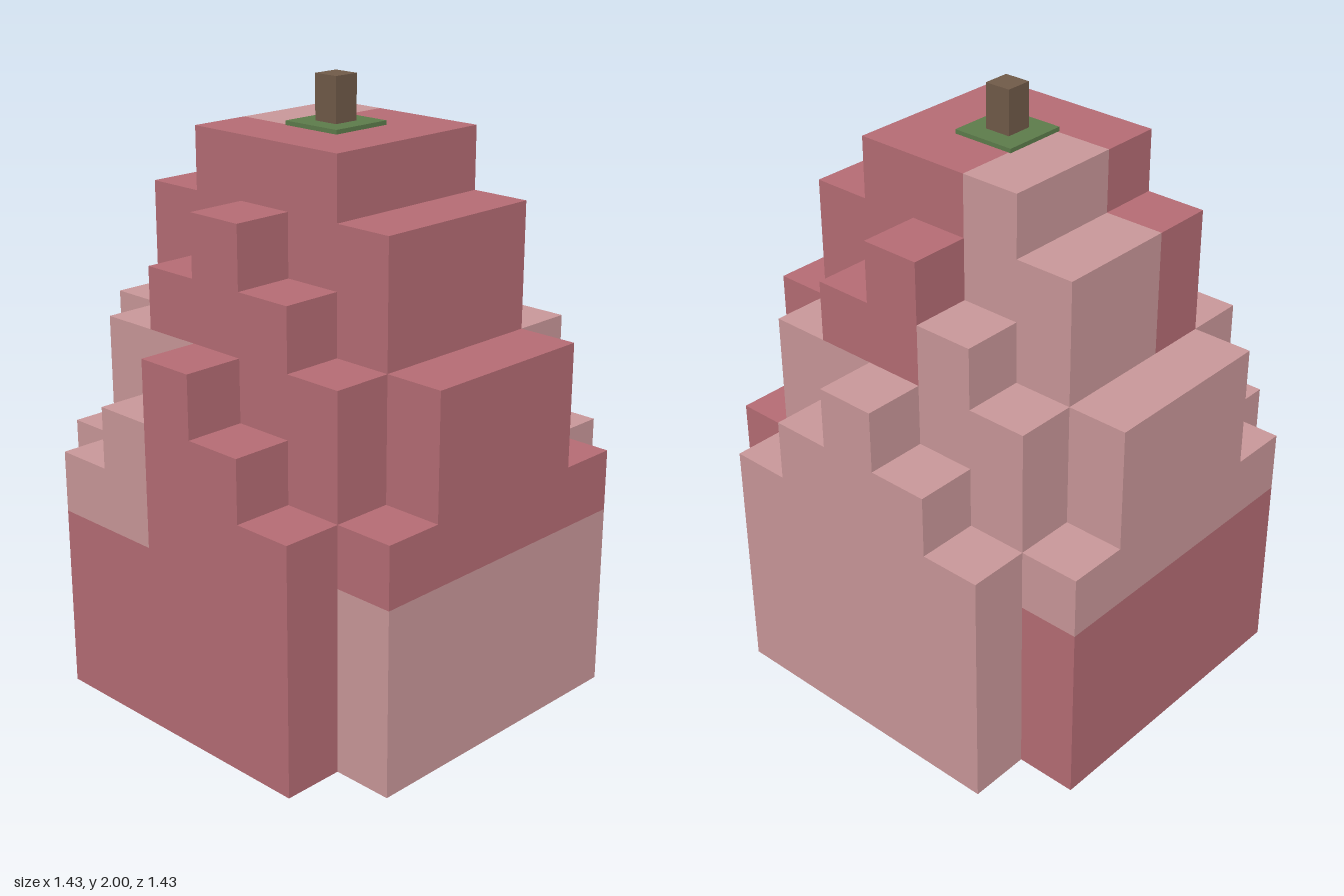
import * as THREE from 'three';
import { mergeGeometries } from 'three/addons/utils/BufferGeometryUtils.js';

const UNIT = 1.84 / 9; // edge of one cube

// Cubes per column, by distance from the centre: HEIGHTS[|z|][|x|]
const HEIGHTS = [
  [9, 9, 8, 6],
  [9, 9, 8, 6],
  [8, 7, 6, 4],
  [6, 5, 4, 0],
];

// Outward directions with the turn that points a plane along them
const SIDES = [
  { d: [1, 0, 0], turn: g => g.rotateY(Math.PI / 2) },
  { d: [-1, 0, 0], turn: g => g.rotateY(-Math.PI / 2) },
  { d: [0, 1, 0], turn: g => g.rotateX(-Math.PI / 2) },
  { d: [0, -1, 0], turn: g => g.rotateX(Math.PI / 2) },
  { d: [0, 0, 1], turn: g => g },
  { d: [0, 0, -1], turn: g => g.rotateY(Math.PI) },
];

function isFilled(x, y, z) {
  const ax = Math.abs(x), az = Math.abs(z);
  if (ax > 3 || az > 3 || y < 0 || y >= HEIGHTS[az][ax]) return false;
  // five pits in the underside: the centre and its diagonals
  const pit = y === 0 && ax <= 1 && ax === az;
  return !pit;
}

// The skin is mottled in patches three cubes tall
function isPale(x, y, z) {
  const band = Math.floor(y / 3);
  if (x === 3) return band === 0;
  if (z === -3) return true;
  if (band === 0) return false;
  if (band === 1) return x < 0 || z <= 0;
  return x < 0 && z <= 0;
}

// All exposed cube faces of one skin colour
function skinGeometry(pale) {
  const faces = [];
  for (let x = -3; x <= 3; x++)
    for (let z = -3; z <= 3; z++)
      for (let y = 0; y < 9; y++) {
        if (!isFilled(x, y, z) || isPale(x, y, z) !== pale) continue;
        for (const { d, turn } of SIDES) {
          if (isFilled(x + d[0], y + d[1], z + d[2])) continue;
          const face = turn(new THREE.PlaneGeometry(UNIT, UNIT));
          face.translate(
            (x + d[0] / 2) * UNIT,
            (y + 0.5 + d[1] / 2) * UNIT,
            (z + d[2] / 2) * UNIT
          );
          faces.push(face);
        }
      }
  return mergeGeometries(faces);
}

function material(name, color) {
  const m = new THREE.MeshStandardMaterial({ color });
  m.name = name;
  return m;
}

export function createModel() {
  const model = new THREE.Group();
  model.name = 'blockFruit';

  const add = (name, geometry, mat) => {
    const mesh = new THREE.Mesh(geometry, mat);
    mesh.name = name;
    model.add(mesh);
    return mesh;
  };

  // Stepped body
  add('redSkin', skinGeometry(false), material('red', 0xb56c74));
  add('paleSkin', skinGeometry(true), material('palePink', 0xc99799));

  // Leaf plate and stalk on top
  add('leaf', new THREE.BoxGeometry(0.22, 0.014, 0.22), material('green', 0x5d7c4b))
    .position.y = 1.847;
  add('stalk', new THREE.BoxGeometry(0.09, 0.15, 0.09), material('brown', 0x705a48))
    .position.y = 1.925;

  return model;
}
